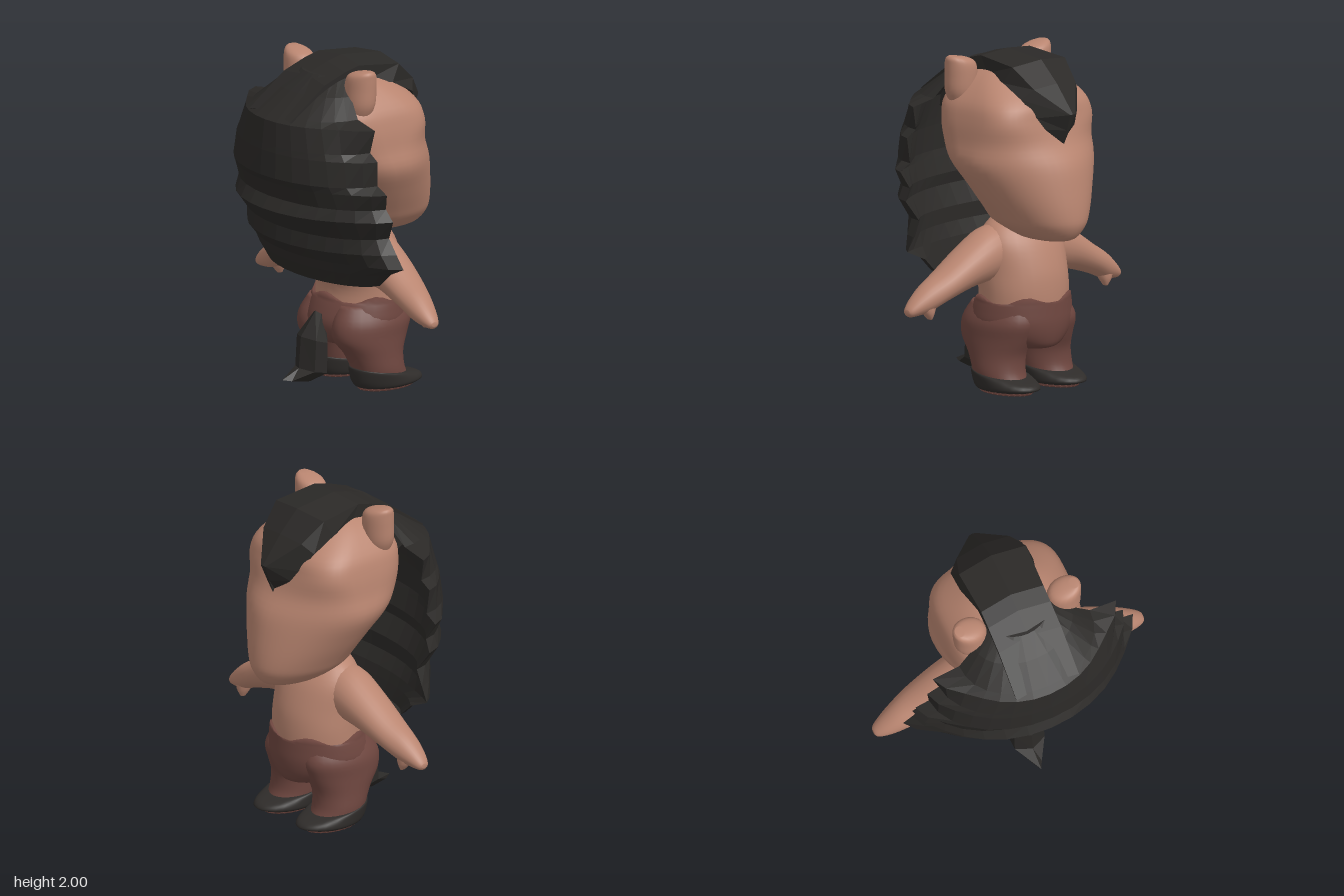
import * as THREE from 'three';

const V = (x, y, z) => new THREE.Vector3(x, y, z);
const SKIN = new THREE.MeshStandardMaterial({ color: 0xb98570 });
const PANTS = new THREE.MeshStandardMaterial({ color: 0x6e463f });
const HAIR = new THREE.MeshStandardMaterial({ color: 0x2b2927, flatShading: true });
const SHOE = new THREE.MeshStandardMaterial({ color: 0x2f2c2a });

// Closed skin over rings of equal point count, capped at both ends, always wound outward
function loft(rings) {
  const n = rings[0].length, pts = rings.flat(), idx = [];
  for (let r = 0; r < rings.length - 1; r++) {
    for (let i = 0; i < n; i++) {
      const a = r * n + i, b = r * n + (i + 1) % n;
      idx.push(a, b, a + n, b, b + n, a + n);
    }
  }
  [0, rings.length - 1].forEach((r, end) => {
    const c = pts.length;
    pts.push(rings[r].reduce((s, p) => s.add(p), V(0, 0, 0)).divideScalar(n));
    for (let i = 0; i < n; i++) {
      const a = r * n + i, b = r * n + (i + 1) % n;
      if (end) idx.push(c, a, b); else idx.push(c, b, a);
    }
  });
  let volume = 0;
  for (let i = 0; i < idx.length; i += 3) {
    volume += pts[idx[i]].dot(V(0, 0, 0).crossVectors(pts[idx[i + 1]], pts[idx[i + 2]]));
  }
  if (volume < 0) idx.reverse();
  const g = new THREE.BufferGeometry().setFromPoints(pts);
  g.setIndex(idx);
  g.computeVertexNormals();
  return g;
}

// Spline interpolation of every column in a table of sections
function refine(rows, steps = 4) {
  const curves = rows[0].map((_, c) =>
    new THREE.SplineCurve(rows.map((r, i) => new THREE.Vector2(i, r[c]))));
  const count = (rows.length - 1) * steps;
  return Array.from({ length: count + 1 }, (_, i) => curves.map(c => c.getPoint(i / count).y));
}

const around = (n, f) => Array.from({ length: n }, (_, i) => f(i / n * Math.PI * 2));
const signedPow = (v, p) => Math.sign(v) * Math.abs(v) ** p;

// Horizontal oval sections: [y, xMin, xMax, half width, z centre]
const stack = (rows, n = 28) => loft(rows.map(([y, x0, x1, h, z = 0]) =>
  around(n, a => V((x0 + x1) / 2 + Math.cos(a) * (x1 - x0) / 2, y, z + Math.sin(a) * h))));

export function createModel() {
  const model = new THREE.Group();
  const add = (name, geometry, material) => {
    const mesh = new THREE.Mesh(geometry, material);
    mesh.name = name;
    model.add(mesh);
  };

  // Large head: wedge jaw and round muzzle below, square brow and back above
  // [y, xMin, xWidest, xMax, half width, front roundness, back roundness]
  const head = refine([
    [0.907, 0.28, 0.35, 0.44, 0.05, 1, 1], [0.93, 0.13, 0.3, 0.53, 0.135, 1, 1],
    [1.0, -0.07, 0.25, 0.58, 0.225, 1, 1.15], [1.08, -0.13, 0.22, 0.587, 0.28, 1, 1.15],
    [1.22, -0.18, 0.17, 0.57, 0.367, 1.05, 1.05], [1.37, -0.24, 0.14, 0.537, 0.443, 1.1, 0.85],
    [1.5, -0.27, 0.13, 0.465, 0.428, 0.9, 0.65], [1.63, -0.27, 0.13, 0.422, 0.412, 0.65, 0.52],
    [1.74, -0.26, 0.1, 0.385, 0.375, 0.7, 0.52],
    [1.86, -0.2, 0.05, 0.25, 0.265, 0.9, 0.7], [1.93, -0.08, 0.02, 0.12, 0.13, 1, 1],
    [1.945, -0.02, 0.01, 0.04, 0.03, 1, 1],
  ]);
  add('head', loft(head.map(([y, x0, xc, x1, h, front, back]) => around(48, a => {
    const p = Math.cos(a) > 0 ? front : back, c = signedPow(Math.cos(a), p);
    return V(xc + c * (c > 0 ? x1 - xc : xc - x0), y, signedPow(Math.sin(a), p) * h);
  }))), SKIN);

  // Torso with sloping shoulders
  add('torso', stack(refine([
    [1.03, -0.03, 0.2, 0.15], [0.97, -0.07, 0.25, 0.235], [0.87, -0.1, 0.312, 0.285],
    [0.72, -0.14, 0.362, 0.287], [0.6, -0.11, 0.376, 0.285], [0.48, -0.12, 0.375, 0.28],
  ])), SKIN);

  // Trouser seat with an uneven hem at the waist and a round belly underside
  const seat = refine([
    [0.55, -0.125, 0.388, 0.297], [0.49, -0.155, 0.393, 0.31], [0.41, -0.18, 0.397, 0.315],
    [0.33, -0.165, 0.387, 0.27], [0.27, -0.11, 0.362, 0.18], [0.25, 0.0, 0.3, 0.08],
  ]);
  add('trouserSeat', loft(seat.map(([y, x0, x1, h], i) => around(36, a => V(
    (x0 + x1) / 2 + Math.cos(a) * (x1 - x0) / 2,
    y - (i === 0 ? 0.025 * Math.cos(5 * a) : 0),
    Math.sin(a) * h)))), PANTS);

  for (const s of [1, -1]) {
    const side = s > 0 ? 'left' : 'right';
    // In this frame the figure looks along +x, so its sides lie along z
    add(side + 'TrouserLeg', stack(refine([
      [0.52, -0.11, 0.32, 0.12, s * 0.15], [0.42, -0.165, 0.355, 0.158, s * 0.165],
      [0.32, -0.165, 0.325, 0.16, s * 0.17],
      [0.22, -0.09, 0.285, 0.152, s * 0.182], [0.13, -0.045, 0.285, 0.149, s * 0.19],
      [0.07, -0.03, 0.31, 0.14, s * 0.19],
    ])), PANTS);

    // Shoe, sloping from heel down to toe: [y, xMin, xMax, half width, tilt]
    const shoe = [[0.02, -0.02, 0.385, 0.14, 0], [0.035, -0.035, 0.42, 0.152, 0],
      [0.065, -0.05, 0.4, 0.156, 0.004], [0.107, -0.06, 0.335, 0.156, 0.028], [0.115, -0.045, 0.29, 0.14, 0.024]];
    add(side + 'Shoe', loft(refine(shoe).map(([y, x0, x1, h, tilt]) => around(28, a => V(
      (x0 + x1) / 2 + Math.cos(a) * (x1 - x0) / 2,
      y - tilt * Math.cos(a), s * 0.19 + Math.sin(a) * h)))), SHOE);
    add(side + 'Sole', stack([[0, 0.0, 0.36, 0.115, s * 0.19], [0.022, -0.018, 0.383, 0.138, s * 0.19]]), PANTS);

    // Arm sections: [z, yMin, yMax, xMin, xMax]
    const arm = refine([
      [0.08, 0.7, 1.0, -0.07, 0.22], [0.26, 0.655, 0.972, -0.08, 0.215], [0.42, 0.632, 0.885, -0.07, 0.2],
      [0.6, 0.578, 0.768, -0.055, 0.17], [0.72, 0.53, 0.698, -0.04, 0.135],
      [0.8, 0.517, 0.635, -0.022, 0.105], [0.85, 0.517, 0.585, 0.0, 0.08], [0.867, 0.535, 0.56, 0.02, 0.06],
    ]);
    add(side + 'Arm', loft(arm.map(([z, y0, y1, x0, x1]) => around(24, a => V(
      (x0 + x1) / 2 + Math.cos(a) * (x1 - x0) / 2,
      (y0 + y1) / 2 + Math.sin(a) * (y1 - y0) / 2, s * z)))), SKIN);
    add(side + 'Thumb', stack(refine([
      [0.6, 0.01, 0.115, 0.07, s * 0.725], [0.535, 0.035, 0.115, 0.042, s * 0.725],
      [0.492, 0.065, 0.1, 0.01, s * 0.72]]), 12), SKIN);

    // Broad blunt ear, its top sloping in toward the crest
    add(side + 'Ear', stack(refine([
      [1.7, -0.16, -0.02, 0.08, s * 0.28], [1.78, -0.175, 0.0, 0.1, s * 0.298],
      [1.88, -0.172, 0.005, 0.104, s * 0.301], [1.945, -0.165, 0, 0.096, s * 0.311],
      [1.975, -0.145, -0.02, 0.068, s * 0.338], [1.99, -0.115, -0.05, 0.025, s * 0.37]]), 20), SKIN);
  }

  // Mane: hollow shell with locks only at the rim: [y, xBack, xFront, body half width, rim half width]
  const mane = [
    [1.93, -0.24, -0.08, 0.19, 0.19], [1.84, -0.37, -0.16, 0.31, 0.31], [1.73, -0.52, -0.19, 0.43, 0.42],
    [1.7, -0.56, -0.19, 0.47, 0.59], [1.56, -0.575, -0.2, 0.54, 0.555], [1.52, -0.58, -0.2, 0.56, 0.63],
    [1.37, -0.59, -0.19, 0.6, 0.615], [1.33, -0.565, -0.185, 0.61, 0.7], [1.23, -0.53, -0.155, 0.62, 0.65],
    [1.16, -0.575, -0.14, 0.62, 0.7], [1.04, -0.47, -0.11, 0.61, 0.62], [0.95, -0.48, -0.1, 0.6, 0.68],
    [0.87, -0.4, -0.09, 0.59, 0.735], [0.81, -0.38, -0.08, 0.57, 0.6], [0.72, -0.33, -0.09, 0.5, 0.5],
  ];
  add('mane', loft(mane.map(([y, xb, xf, body, rim]) => {
    const ring = [], n = 14;
    const point = (i, depth, inset) => {
      const t = (i / n - 0.5) * Math.PI, w = body + (rim - body) * Math.abs(Math.sin(t)) ** 12;
      return V(xf - (xf - xb) * depth * Math.cos(t), y, inset * w * Math.sin(t));
    };
    for (let i = 0; i <= n; i++) ring.push(point(i, 1, 1));
    for (let i = n - 1; i > 0; i--) ring.push(point(i, 0.5, 0.96));
    return ring;
  })), HAIR);

  // Crest and forelock: [ridge x, ridge y, ridge half width, base x, base y, base half width]
  const crest = [
    [-0.5, 1.735, 0.2, -0.3, 1.6, 0.2], [-0.25, 1.92, 0.2, -0.17, 1.75, 0.2],
    [-0.1, 1.975, 0.2, -0.05, 1.86, 0.2], [0.0, 2.0, 0.2, 0.03, 1.88, 0.2],
    [0.28, 1.97, 0.215, 0.2, 1.85, 0.235], [0.41, 1.845, 0.17, 0.345, 1.77, 0.23],
    [0.545, 1.68, 0.02, 0.41, 1.66, 0.165], [0.505, 1.58, 0.01, 0.435, 1.59, 0.12], [0.468, 1.495, 0.003, 0.45, 1.5, 0.005],
  ];
  add('crest', loft(crest.map(([x, y, w, bx, by, bw]) => [
    V(x, y, 0), V(x - w * 0.1, y - w * 0.1, w), V(bx, by, bw),
    V(bx, by, 0), V(bx, by, -bw), V(x - w * 0.1, y - w * 0.1, -w),
  ])), HAIR);

  // Tail, kicked backward at its tip: each end of a section has its own height
  const tail = [[-0.19, 0.47, -0.12, 0.42, 0.04], [-0.295, 0.33, -0.13, 0.28, 0.11],
    [-0.31, 0.14, -0.13, 0.1, 0.11], [-0.43, 0.088, -0.225, 0.048, 0.03]];
  add('tail', loft(tail.map(([x0, y0, x1, y1, h]) => around(6, a => {
    const k = (1 + Math.cos(a)) / 2;
    return V(x0 + (x1 - x0) * k, y0 + (y1 - y0) * k, Math.sin(a) * h);
  }))), HAIR);

  return model;
}
